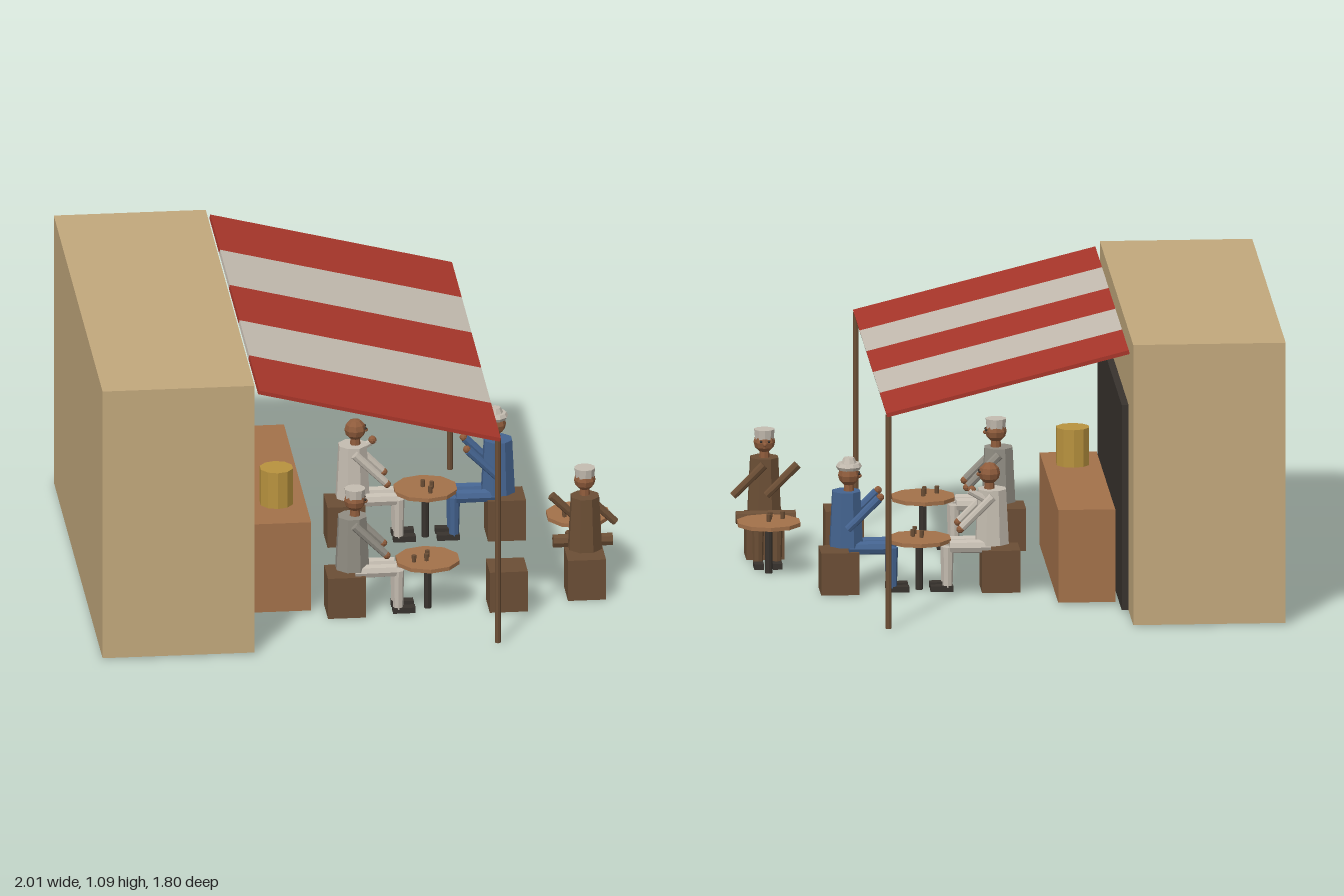
import * as THREE from 'three';

const mat = (name, color) => {
  const m = new THREE.MeshStandardMaterial({ color });
  m.name = name;
  m.flatShading = true;
  return m;
};

export function createModel() {
  const M = {
    sand: mat('sand plaster', 0xc2a87c),
    dark: mat('dark opening', 0x38332e),
    red: mat('red canvas', 0xa8362a),
    cream: mat('cream cloth', 0xc4bcb0),
    wood: mat('warm wood', 0xa3714a),
    brown: mat('dark wood', 0x6b4e35),
    brass: mat('brass', 0xb8923e),
    skin: mat('skin', 0x8f5c3c),
    blue: mat('blue cloth', 0x44638f),
    grey: mat('grey cloth', 0x908c82),
  };
  const root = new THREE.Group();
  root.name = 'streetCafe';

  const add = (parent, name, geo, m, x, y, z) => {
    const mesh = new THREE.Mesh(geo, m);
    mesh.name = name;
    mesh.position.set(x, y, z);
    parent.add(mesh);
    return mesh;
  };
  const box = (p, name, m, w, h, d, x, y, z) =>
    add(p, name, new THREE.BoxGeometry(w, h, d), m, x, y, z);
  const cyl = (p, name, m, rTop, rBot, h, n, x, y, z) =>
    add(p, name, new THREE.CylinderGeometry(rTop, rBot, h, n), m, x, y, z);
  const ball = (p, name, m, r, x, y, z) =>
    add(p, name, new THREE.SphereGeometry(r, 8, 6), m, x, y, z);

  // Building, doorway, counter and urn
  box(root, 'building', M.sand, 0.575, 1.08, 1.8, -0.7125, 0.547, 0);
  box(root, 'doorway', M.dark, 0.026, 0.79, 1.3, -0.412, 0.405, 0);
  box(root, 'counter', M.wood, 0.215, 0.357, 1, -0.2775, 0.187, 0);
  cyl(root, 'urn', M.brass, 0.064, 0.064, 0.145, 10, -0.28, 0.4375, 0.29);

  // Sloping striped awning on two posts
  const awning = new THREE.Group();
  awning.name = 'awning';
  awning.position.set(0.0475, 0.945, 0);
  awning.rotation.z = Math.atan2(-0.23, 0.915);
  root.add(awning);
  for (let i = 0; i < 5; i++)
    box(awning, 'awningStripe', i % 2 ? M.cream : M.red, 0.943, 0.015, 0.36, 0, 0, (i - 2) * 0.36);
  for (const s of [-1, 1])
    cyl(root, 'awningPost', M.brown, 0.011, 0.011, 0.825, 8, 0.497, 0.4175, s * 0.885);

  // Round tables with cups
  for (const [x, z, a] of [[0.27, 0.505, 0], [0.335, -0.215, 1.2], [0.88, 0.105, 0]]) {
    const table = new THREE.Group();
    table.name = 'table';
    table.position.set(x, 0, z);
    root.add(table);
    cyl(table, 'tableTop', M.wood, 0.123, 0.123, 0.015, 10, 0, 0.198, 0);
    cyl(table, 'tableLeg', M.dark, 0.014, 0.014, 0.186, 8, 0, 0.098, 0);
    const cups = new THREE.Group();
    cups.name = 'cups';
    cups.rotation.y = a;
    table.add(cups);
    for (const [cx, cz] of [[0, -0.01], [-0.055, 0.035], [-0.007, 0.027]])
      cyl(cups, 'cup', M.brown, 0.009, 0.008, 0.028, 8, cx, 0.219, cz);
  }

  // Stools
  for (const [x, z] of [[-0.042, 0.505], [0.03, -0.215], [0.637, -0.215], [0.875, 0.415], [0.57, 0.505]])
    box(root, 'stool', M.brown, 0.144, 0.162, 0.144, x, 0.083, z);

  // Seated guest: (fx, fz) is the facing direction, limbs lean along world x
  const guest = (x, z, fx, fz, shirt, trousers, hat, raisedHand) => {
    const g = new THREE.Group();
    g.name = 'guest';
    g.position.set(x, 0, z);
    root.add(g);
    const at = (f, side) => [f * fx + side * fz, f * fz - side * fx];
    const put = (make, p, name, m, dims, f, y, side) => {
      const [px, pz] = at(f, side);
      return make(p, name, m, ...dims, px, y, pz);
    };
    const torso = put(cyl, g, 'torso', shirt, [0.056, 0.067, 0.21, 8], -0.01, 0.285, 0);
    torso.rotation.y = Math.PI / 8;
    put(cyl, g, 'neck', M.skin, [0.018, 0.02, 0.03, 8], 0, 0.4, 0);
    put(ball, g, 'head', M.skin, [0.041], 0, 0.45, 0);
    put(ball, g, 'nose', M.skin, [0.008], 0.041, 0.446, 0);
    if (hat === 'cap') put(cyl, g, 'cap', M.cream, [0.04, 0.036, 0.038, 10], 0, 0.48, 0);
    if (hat === 'turban') {
      const t = add(g, 'turban', new THREE.TorusGeometry(0.034, 0.015, 6, 10), M.cream, 0, 0.484, 0);
      t.rotation.x = Math.PI / 2;
      put(cyl, g, 'turbanCrown', M.cream, [0.02, 0.036, 0.035, 8], 0, 0.5, 0);
    }
    for (const s of [-1, 1]) {
      put(ball, g, 'eye', M.dark, [0.005], 0.038, 0.457, s * 0.015);
      const arm = put(cyl, g, 'arm', shirt, [0.017, 0.015, 0.165, 8], 0.05, 0.312, s * 0.063);
      arm.rotation.z = Math.PI / 4;
      const thigh = put(cyl, g, 'thigh', trousers, [0.027, 0.025, 0.155, 8], 0.075, 0.175, s * 0.035);
      thigh.rotation.z = Math.PI / 2;
      put(cyl, g, 'shin', trousers, [0.023, 0.019, 0.155, 8], 0.16, 0.098, s * 0.035);
      put(box, g, 'shoe', M.dark, fx ? [0.085, 0.022, 0.036] : [0.036, 0.022, 0.085], 0.182, 0.016, s * 0.035);
      // Hand at the end of the sleeve nearest the table
      const [hx, hz] = at(0.05, s * 0.063);
      const e = fx < 0 ? -1 : 1;
      if (fx) ball(g, 'hand', M.skin, 0.015, hx + e * 0.064, 0.312 - e * 0.064, hz);
    }
    // Forearm lifted towards the mouth
    if (raisedHand) {
      const [hx, hz] = at(0.068, 0.03);
      ball(g, 'raisedHand', M.skin, 0.016, hx, 0.392, hz);
      const fore = put(cyl, g, 'forearm', shirt, [0.013, 0.014, 0.09, 8], 0.04, 0.368, 0.035);
      fore.rotation.z = -fx * 1.05;
    }
  };
  guest(-0.005, 0.505, 1, 0, M.grey, M.cream, 'cap', false);
  guest(0.07, -0.215, 1, 0, M.cream, M.cream, 'none', true);
  guest(0.6, -0.215, -1, 0, M.blue, M.blue, 'turban', false);
  guest(0.877, 0.382, 0, -1, M.brown, M.brown, 'cap', false);

  return root;
}
